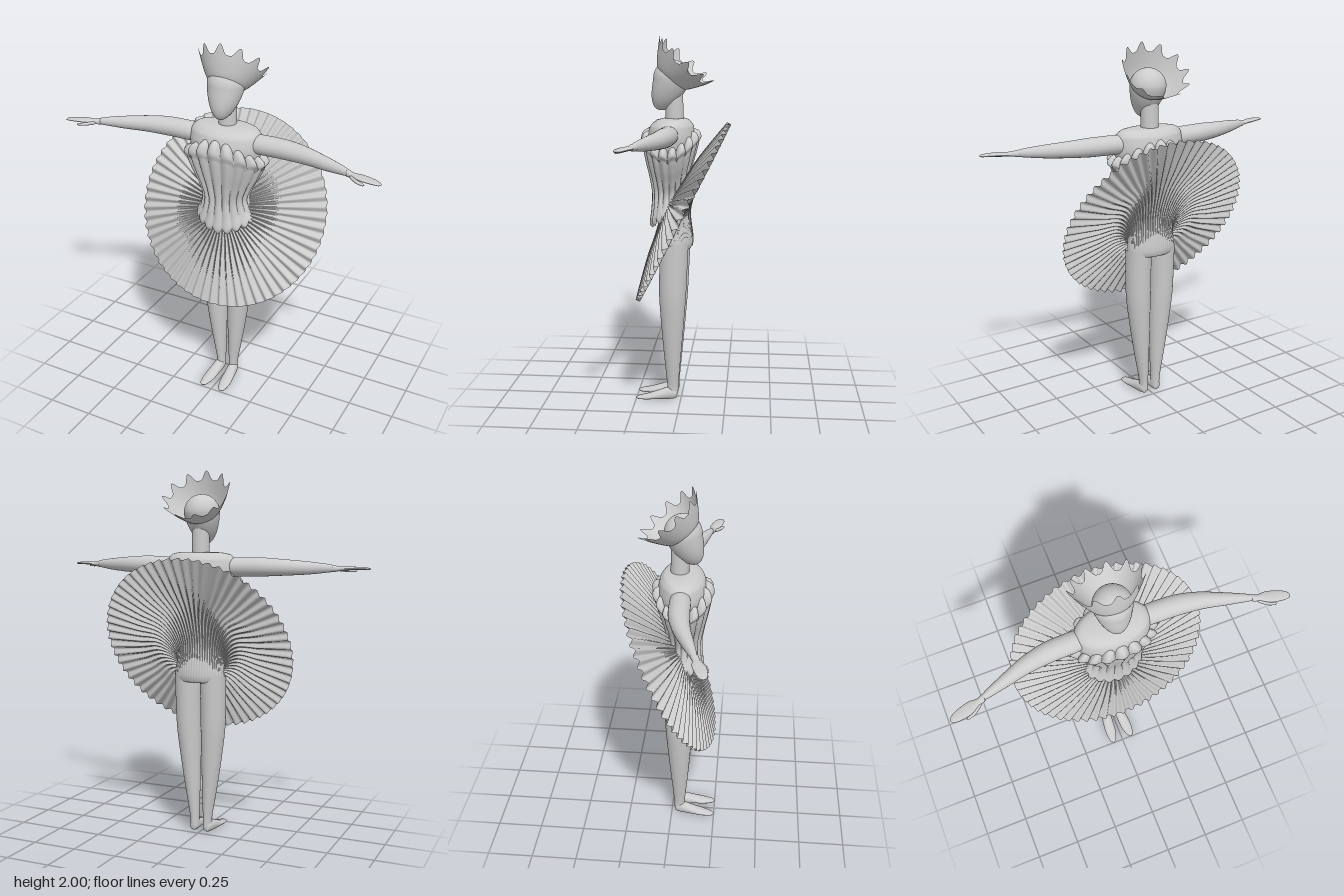
import * as THREE from 'three';

const grey = new THREE.MeshStandardMaterial({ color: 0xcccccc, side: THREE.DoubleSide });
const TAU = Math.PI * 2;

// Closed surface of rings: point(angle, v) with v running 0..1 along the part
function loft(name, segs, rows, point) {
  const pos = [], index = [];
  for (let i = 0; i <= rows; i++)
    for (let j = 0; j < segs; j++) pos.push(...point(j / segs * TAU, i / rows));
  for (let i = 0; i < rows; i++)
    for (let j = 0; j < segs; j++) {
      const k = (j + 1) % segs;
      const a = i * segs + j, b = i * segs + k, c = a + segs, d = b + segs;
      index.push(a, b, d, a, d, c);
    }
  const geo = new THREE.BufferGeometry();
  geo.setAttribute('position', new THREE.Float32BufferAttribute(pos, 3));
  geo.setIndex(index);
  geo.computeVertexNormals();
  const mesh = new THREE.Mesh(geo, grey);
  mesh.name = name;
  return mesh;
}

const spline = pts => new THREE.CatmullRomCurve3(pts.map(p => new THREE.Vector3(...p)));

// Smooth solid through stations [x, y, z, radiusA, radiusB], elliptical rings across one axis
function solid(name, axis, stations, segs = 32, rows = 32) {
  const centre = spline(stations.map(s => s.slice(0, 3)));
  const radius = spline(stations.map(s => [s[3], s[4], 0]));
  return loft(name, segs, rows, (a, v) => {
    const c = centre.getPoint(v), r = radius.getPoint(v);
    const s = Math.max(0, r.x) * Math.sin(a), k = Math.max(0, r.y) * Math.cos(a);
    if (axis === 'y') return [c.x + s, c.y, c.z + k];
    if (axis === 'x') return [c.x, c.y + k, c.z + s];
    return [c.x + k, c.y + s, c.z];
  });
}

// Point in the tilted skirt disc: angle, radius, height along its normal
const disc = (a, r, n) => [
  r * Math.sin(a),
  1.06 - 0.892 * r * Math.cos(a) + 0.452 * n,
  -0.01 + 0.452 * r * Math.cos(a) + 0.892 * n,
];

// Pleated layer: a profile curve per angle, rippled along the skirt normal
function pleatedLayer(name, profile, amplitude) {
  const cache = new Map();
  return loft(name, 480, 28, (a, v) => {
    if (!cache.has(a)) cache.set(a, spline(profile(a)));
    const p = cache.get(a).getPoint(v);
    const n = amplitude(v) * Math.cos(60 * a);
    return [p.x, p.y + 0.452 * n, p.z + 0.892 * n];
  });
}

function makeSkirt() {
  const g = new THREE.Group();
  g.name = 'skirt';
  g.add(pleatedLayer('skirtFront', a => [
    disc(a, 0.1, 0.09), disc(a, 0.2, 0.07), disc(a, 0.28, 0.058), disc(a, 0.4, 0.033), disc(a, 0.54, 0),
  ], v => 0.006 + 0.006 * v));
  // Underside flows in from the rim and down over the hips
  g.add(pleatedLayer('skirtBackAndHips', a => {
    const s = Math.sin(a), c = Math.cos(a);
    return [
      [0, 0.868, 0.025],
      [0.135 * s, 0.872, 0.025 + 0.083 * c],
      [0.14 * s, 0.98 - 0.1 * c, 0.03 + 0.08 * c],
      disc(a, 0.225 + 0.025 * c, 0),
      disc(a, 0.36, 0),
      disc(a, 0.54, 0),
    ];
  }, v => 0.012 * Math.max(0, v - 0.2) / 0.8));
  return g;
}

// Fluted bodice with scalloped top and bottom edges
function makeBodice() {
  const shape = spline([
    [0.175, 0.115, 0], [0.135, 0.098, 0], [0.118, 0.09, 0], [0.14, 0.1, 0],
    [0.175, 0.118, 0], [0.2, 0.132, 0], [0.2, 0.132, 0],
  ]);
  return loft('bodice', 288, 36, (a, v) => {
    const c = Math.cos(a), bump = Math.abs(Math.cos(9 * a));
    const low = (c > 0 ? 1.06 - 0.06 * c * c : 1.06 + 0.08 * c * c) - 0.025 * bump;
    const high = 1.4 + 0.085 * c * c + 0.035 * Math.sqrt(bump);
    const r = shape.getPoint(v);
    // Flutes swell in the middle of their length and close at both ends
    const end = Math.sqrt(Math.max(0, 1 - Math.pow(Math.abs(2 * v - 1), 14)));
    const k = (0.01 + 0.012 * v) * bump * end - 0.015 * (1 - end);
    return [(r.x + k) * Math.sin(a), low + (high - low) * v, 0.055 + (r.y + k) * c];
  });
}

// Ball skull drawn down and forward into a narrow chin
function makeHead() {
  const R = 0.097, geo = new THREE.SphereGeometry(R, 48, 36), p = geo.attributes.position;
  for (let i = 0; i < p.count; i++) {
    const s = Math.max(0, -p.getY(i) / R);
    p.setX(i, p.getX(i) * (1 - 0.2 * s));
    if (s > 0) p.setY(i, p.getY(i) * 1.75);
    p.setZ(i, p.getZ(i) + 0.055 * Math.pow(s, 1.3));
  }
  geo.computeVertexNormals();
  const head = new THREE.Mesh(geo, grey);
  head.name = 'head';
  head.position.set(0, 1.78, 0.052);
  return head;
}

// Flared crown with eleven rounded points, tipped backwards
function makeCrown() {
  const crown = loft('crown', 264, 14, (a, v) => {
    const h = v * (0.092 + 0.043 * Math.pow(Math.cos(5.5 * a), 4));
    const r = 0.095 + 0.093 * Math.pow(h / 0.135, 0.85);
    return [r * Math.sin(a), h, r * Math.cos(a)];
  });
  crown.position.set(0, 1.78, 0.055);
  crown.rotation.x = -0.7;
  return crown;
}

// Limbs of the model's left side
function makeLimbs(side) {
  const g = new THREE.Group();
  g.name = side + 'Limbs';
  g.add(
    solid(side + 'Arm', 'x', [
      [0.15, 1.49, 0.053, 0.05, 0.048], [0.22, 1.492, 0.055, 0.055, 0.051], [0.34, 1.494, 0.06, 0.054, 0.05],
      [0.46, 1.493, 0.08, 0.046, 0.043], [0.58, 1.491, 0.117, 0.034, 0.034],
      [0.68, 1.49, 0.15, 0.021, 0.022], [0.71, 1.489, 0.16, 0.015, 0.016],
    ]),
    solid(side + 'Hand', 'x', [
      [0.697, 1.488, 0.158, 0, 0], [0.705, 1.488, 0.161, 0.02, 0.018], [0.735, 1.488, 0.171, 0.018, 0.012],
      [0.79, 1.49, 0.188, 0.033, 0.009], [0.85, 1.49, 0.203, 0.028, 0.007],
      [0.882, 1.488, 0.21, 0.016, 0.005], [0.89, 1.488, 0.212, 0, 0],
    ]),
    solid(side + 'Thumb', 'x', [
      [0.715, 1.484, 0.172, 0, 0], [0.735, 1.482, 0.188, 0.012, 0.009], [0.77, 1.478, 0.212, 0.012, 0.008],
      [0.805, 1.476, 0.226, 0.008, 0.006], [0.815, 1.476, 0.229, 0, 0],
    ], 16, 16),
    solid(side + 'Leg', 'y', [
      [0.038, 0.04, 0.045, 0.024, 0.03], [0.039, 0.08, 0.045, 0.025, 0.031], [0.051, 0.25, 0.045, 0.041, 0.046],
      [0.063, 0.43, 0.044, 0.056, 0.061], [0.073, 0.62, 0.042, 0.068, 0.074], [0.075, 0.9, 0.033, 0.071, 0.078],
    ]),
    solid(side + 'Foot', 'z', [
      [0.04, 0.035, 0.018, 0, 0], [0.04, 0.035, 0.024, 0.027, 0.02], [0.042, 0.036, 0.06, 0.036, 0.029],
      [0.048, 0.026, 0.12, 0.026, 0.032], [0.053, 0.016, 0.18, 0.016, 0.032],
      [0.058, 0.01, 0.235, 0.01, 0.02], [0.06, 0.009, 0.253, 0, 0],
    ]),
  );
  return g;
}

export function createModel() {
  const model = new THREE.Group();
  model.name = 'dancer';
  model.add(makeHead(), makeCrown(), makeBodice(), makeSkirt());

  // Neck and rounded shoulders
  const neck = new THREE.Mesh(new THREE.CylinderGeometry(0.046, 0.048, 0.24, 32), grey);
  neck.name = 'neck';
  neck.position.set(0, 1.65, 0.037);
  model.add(neck);
  model.add(solid('chest', 'y', [
    [0, 1.1, 0.055, 0.11, 0.085], [0, 1.24, 0.055, 0.12, 0.092], [0, 1.38, 0.055, 0.185, 0.122],
    [0, 1.47, 0.053, 0.2, 0.128], [0, 1.53, 0.05, 0.193, 0.115], [0, 1.558, 0.045, 0.165, 0.088],
    [0, 1.568, 0.04, 0.11, 0.055], [0, 1.57, 0.037, 0, 0],
  ], 64, 48));

  const left = makeLimbs('left'), right = makeLimbs('right');
  right.scale.x = -1;
  model.add(left, right);
  return model;
}
